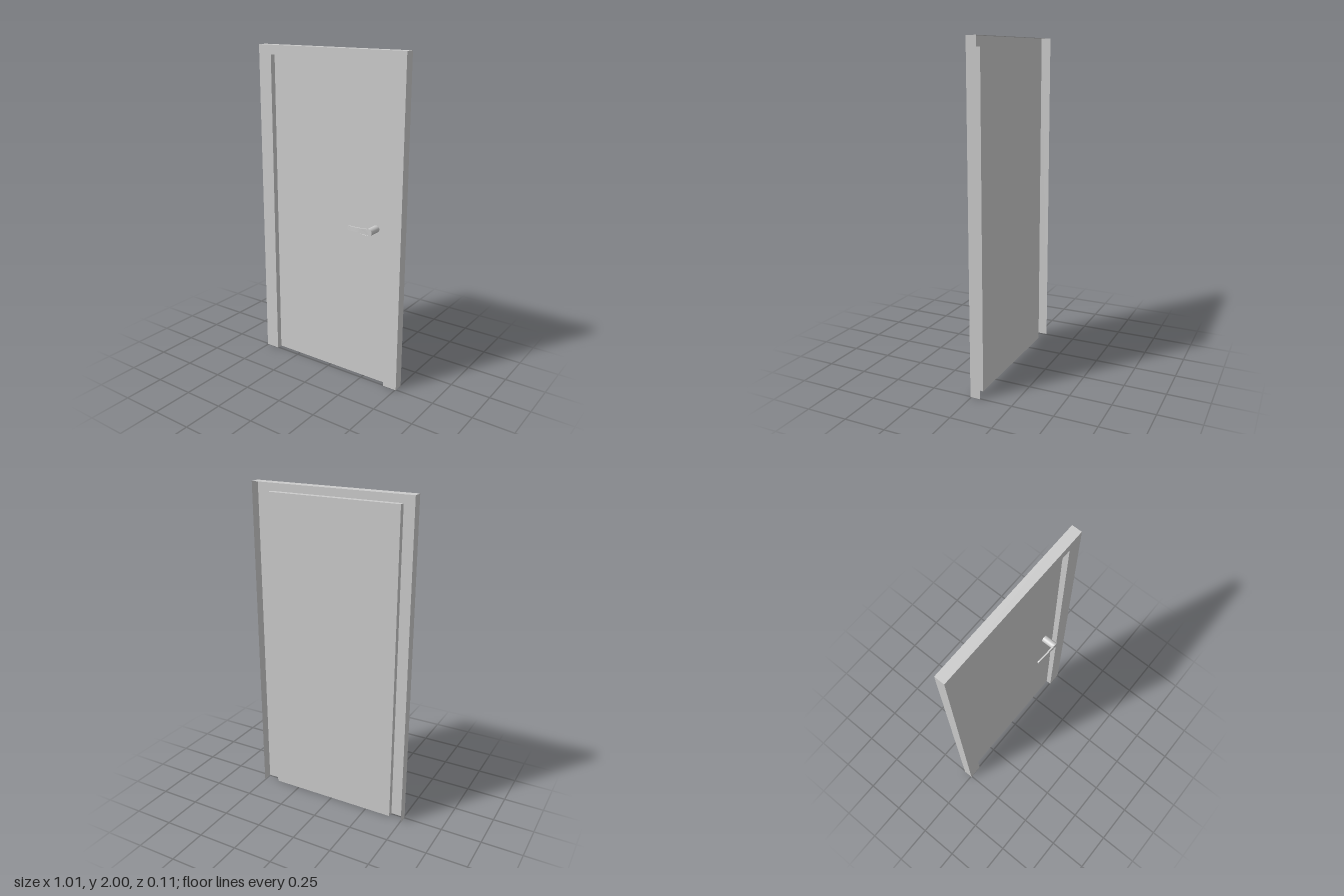
import * as THREE from 'three';

const FRONT = 0.005, BACK = -0.055, PANEL = -0.03;
const OUTER = { w: 0.505, h: 2 }, INNER = { w: 0.415, h: 1.943 };
const HUB = { x: 0.32, y: 0.985, r: 0.022 };
const LEVER_FRONT = 0.055, LEVER_THICK = 0.009;

const material = new THREE.MeshStandardMaterial({ color: 0xcccccc, side: THREE.DoubleSide });

function addMesh(parent, name, geometry) {
  const mesh = new THREE.Mesh(geometry, material);
  mesh.name = name;
  parent.add(mesh);
  return mesh;
}

// Three thin sheets (two sides and a top) around an opening, running from z0 back to z1
function addWalls(parent, name, { w, h }, z0, z1) {
  const depth = z0 - z1, z = (z0 + z1) / 2;
  for (const side of [-1, 1]) {
    const wall = addMesh(parent, name + (side > 0 ? 'Left' : 'Right'), new THREE.PlaneGeometry(depth, h));
    wall.rotation.y = side * Math.PI / 2;
    wall.position.set(side * w, h / 2, z);
  }
  const top = addMesh(parent, name + 'Top', new THREE.PlaneGeometry(2 * w, depth));
  top.rotation.x = -Math.PI / 2;
  top.position.set(0, h, z);
}

// Tapered lever outline that ends in the round hub, bent back towards its tip
function leverGeometry() {
  const tip = { x: 0.181, r: 0.0135 };
  const shape = new THREE.Shape();
  const a = 2.0; // where the taper meets the hub circle
  const hx = HUB.x + HUB.r * Math.cos(a), hy = HUB.r * Math.sin(a);
  const steps = 10;
  const halfHeight = t => tip.r + (hy - tip.r) * (0.25 * t + 0.75 * t ** 3);
  shape.absarc(HUB.x, HUB.y, HUB.r, -a, a, false);
  for (let i = 1; i <= steps; i++) {
    const t = 1 - i / steps;
    shape.lineTo(tip.x + (hx - tip.x) * t, HUB.y + halfHeight(t));
  }
  shape.absarc(tip.x, HUB.y, tip.r, Math.PI / 2, Math.PI * 1.5, false);
  for (let i = 1; i < steps; i++) {
    const t = i / steps;
    shape.lineTo(tip.x + (hx - tip.x) * t, HUB.y - halfHeight(t));
  }
  const geometry = new THREE.ExtrudeGeometry(shape, { depth: LEVER_THICK, bevelEnabled: false, curveSegments: 16 });
  const p = geometry.attributes.position;
  for (let i = 0; i < p.count; i++) {
    const t = Math.max(0, (0.3 - p.getX(i)) / 0.132);
    p.setZ(i, p.getZ(i) + LEVER_FRONT - LEVER_THICK - 0.009 * t ** 1.4);
  }
  geometry.computeVertexNormals();
  return geometry;
}

export function createModel() {
  const model = new THREE.Group();
  model.name = 'door';

  // Frame: flat face, outer return and inner reveal, open at the back and floor
  const frame = new THREE.Group();
  frame.name = 'frame';
  model.add(frame);
  const { w, h } = OUTER, { w: iw, h: ih } = INNER;
  const outline = [[-w, 0], [-iw, 0], [-iw, ih], [iw, ih], [iw, 0], [w, 0], [w, h], [-w, h]];
  const face = new THREE.Shape(outline.map(([x, y]) => new THREE.Vector2(x, y)));
  addMesh(frame, 'frameFace', new THREE.ShapeGeometry(face)).position.z = FRONT;
  addWalls(frame, 'outerReturn', OUTER, FRONT, BACK);
  addWalls(frame, 'reveal', INNER, FRONT, PANEL);

  // Recessed door leaf
  addMesh(model, 'doorPanel', new THREE.PlaneGeometry(2 * iw, ih)).position.set(0, ih / 2, PANEL);

  // Handle: spindle from the leaf and a curved lever
  const handle = new THREE.Group();
  handle.name = 'handle';
  model.add(handle);
  const hubFront = LEVER_FRONT - LEVER_THICK;
  const hub = addMesh(handle, 'hub',
    new THREE.CylinderGeometry(HUB.r, HUB.r, hubFront - PANEL, 32, 1, true));
  hub.rotation.x = Math.PI / 2;
  hub.position.set(HUB.x, HUB.y, (hubFront + PANEL) / 2);
  addMesh(handle, 'lever', leverGeometry());

  return model;
}
